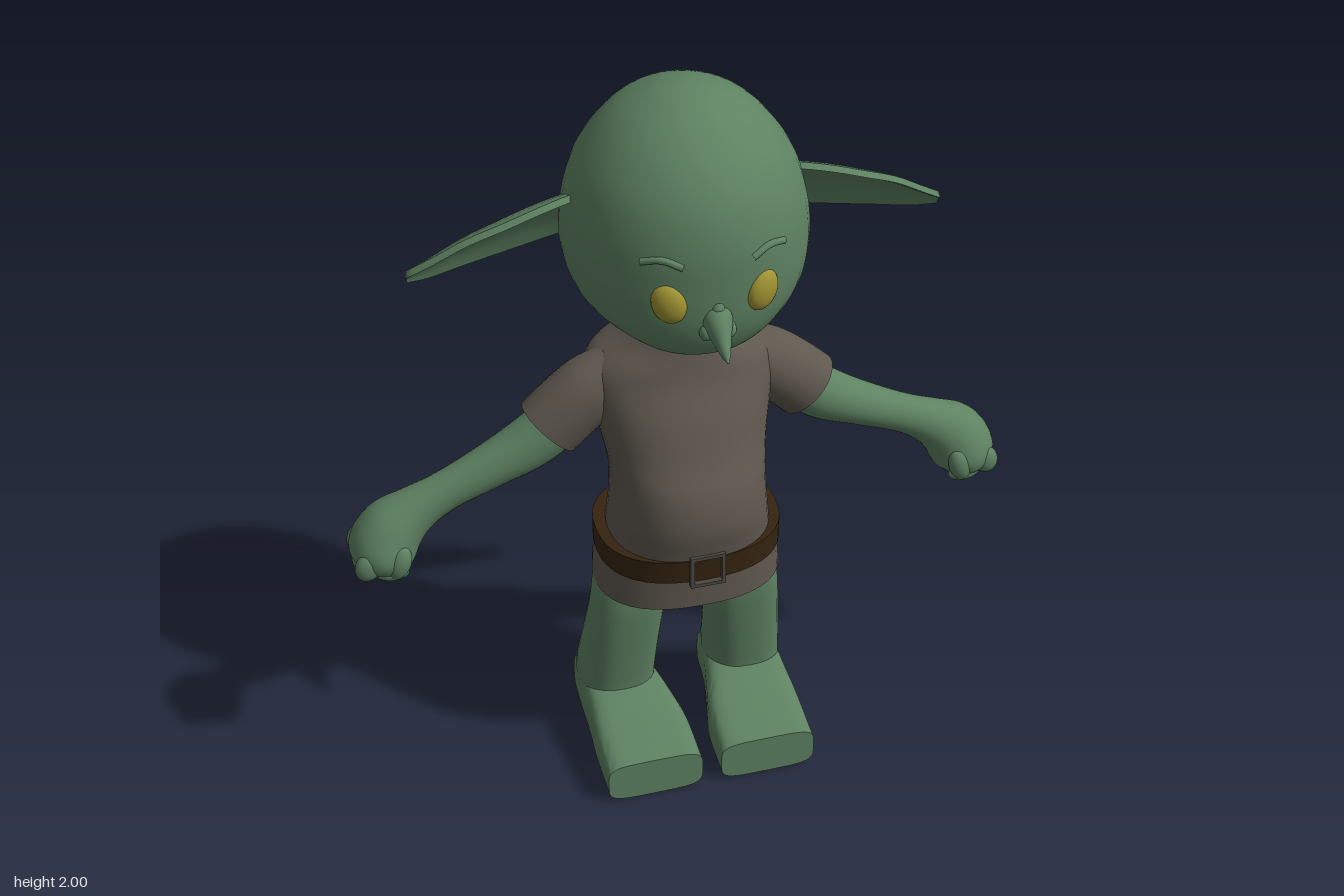
import * as THREE from 'three';
import { toCreasedNormals } from 'three/addons/utils/BufferGeometryUtils.js';

const V = (x, y, z) => new THREE.Vector3(x, y, z);
const X = V(1, 0, 0), Y = V(0, 1, 0), Z = V(0, 0, 1);

const makeMat = (name, color) => Object.assign(new THREE.MeshStandardMaterial({ color }), { name });

// Closed rings of points joined into a surface, with optional end caps
function skin(rings, { flip = false, caps = true } = {}) {
  const pos = [], idx = [], n = rings[0].length;
  const tri = (a, b, c) => (flip ? idx.push(a, c, b) : idx.push(a, b, c));
  rings.forEach(r => r.forEach(p => pos.push(p.x, p.y, p.z)));
  for (let i = 0; i < rings.length - 1; i++) {
    for (let j = 0; j < n; j++) {
      const a = i * n + j, b = i * n + (j + 1) % n;
      tri(a, b, b + n);
      tri(a, b + n, a + n);
    }
  }
  if (caps) {
    for (const end of [0, rings.length - 1]) {
      const base = pos.length / 3, mid = V(0, 0, 0);
      rings[end].forEach(p => { pos.push(p.x, p.y, p.z); mid.addScaledVector(p, 1 / n); });
      pos.push(mid.x, mid.y, mid.z);
      for (let j = 0; j < n; j++) {
        const a = base + j, b = base + (j + 1) % n;
        if (end === 0) tri(base + n, b, a); else tri(base + n, a, b);
      }
    }
  }
  const g = new THREE.BufferGeometry();
  g.setAttribute('position', new THREE.Float32BufferAttribute(pos, 3));
  g.setIndex(idx);
  g.computeVertexNormals();
  return g;
}

// Smooth in-between rows
function smooth(rows, sub) {
  const out = [], at = i => rows[Math.max(0, Math.min(rows.length - 1, i))];
  for (let i = 0; i < rows.length - 1; i++) {
    for (let k = 0; k < sub; k++) {
      const t = k / sub;
      out.push(rows[i].map((p1, c) => {
        const p0 = at(i - 1)[c], p2 = at(i + 1)[c], p3 = at(i + 2)[c];
        return p1 + 0.5 * t * (p2 - p0 + t * (2 * p0 - 5 * p1 + 4 * p2 - p3 + t * (3 * (p1 - p2) + p3 - p0)));
      }));
    }
  }
  out.push(rows[rows.length - 1]);
  return out;
}

// Rows are [x, y, z, half size across, half size along ref]; e rounds or squares the section
function loft(rows, ref, { dir = null, e = 2, sub = 5, n = 32, caps = true } = {}) {
  const st = smooth(rows, sub);
  const pow = v => Math.sign(v) * Math.abs(v) ** (2 / e);
  const rings = st.map(([x, y, z, a, b], i) => {
    const p = st[Math.max(0, i - 1)], q = st[Math.min(st.length - 1, i + 1)];
    const t = dir || V(q[0] - p[0], q[1] - p[1], q[2] - p[2]).normalize();
    const across = ref.clone().cross(t).normalize();
    return Array.from({ length: n }, (_, j) => {
      const th = (j / n) * Math.PI * 2;
      return V(x, y, z).addScaledVector(across, a * pow(Math.cos(th))).addScaledVector(ref, b * pow(Math.sin(th)));
    });
  });
  return skin(rings, { caps });
}

// Level sections from rows of [y, front z, back z, half width]
const upright = (rows, opts) =>
  loft(rows.map(([y, f, b, w]) => [0, y, (f + b) / 2, w, (f - b) / 2]), Z, { dir: Y, n: 40, ...opts });

// Cupped leaf from rows of [x, top y, top z, bottom y, bottom z]
function earGeometry(s) {
  const rows = smooth([
    [0.26, 1.75, -0.03, 1.56, -0.205], [0.31, 1.745, -0.02, 1.547, -0.21],
    [0.38, 1.73, -0.01, 1.535, -0.205], [0.45, 1.705, -0.012, 1.53, -0.19],
    [0.54, 1.665, -0.03, 1.53, -0.16], [0.62, 1.612, -0.055, 1.531, -0.13],
    [0.68, 1.568, -0.085, 1.542, -0.105]], 3);
  const rings = rows.map(([x, ty, tz, by, bz]) => {
    const w = Math.hypot(ty - by, tz - bz), ny = (tz - bz) / w, nz = -(ty - by) / w;
    const pt = (u, thick) => {
      const d = w * 0.5 * u * (1 - u) - thick;
      return V(s * x, ty + (by - ty) * u + ny * d, tz + (bz - tz) * u + nz * d);
    };
    const us = Array.from({ length: 9 }, (_, i) => i / 8);
    return [...us.map(u => pt(u, 0)), ...us.map(u => pt(1 - u, 0.018))];
  });
  // Choose the winding that makes the back of the ear face outward
  return toCreasedNormals(skin(rings, { flip: s > 0 }), 0.9);
}

export function createModel() {
  const model = new THREE.Group();
  model.name = 'goblin';
  const green = makeMat('green skin', 0x5e8262);
  const cloth = makeMat('brown grey cloth', 0x5f584f);
  cloth.side = THREE.DoubleSide;
  const leather = makeMat('dark leather', 0x35240f);
  const gold = makeMat('yellow eye', 0x9f9332);
  const metal = makeMat('dull metal', 0x4c4842);
  const add = (name, geo, mat) => {
    const m = new THREE.Mesh(geo, mat);
    m.name = name;
    model.add(m);
    return m;
  };
  const ball = (name, mat, p, r, ry = 0, rz = 0) => {
    const m = add(name, new THREE.SphereGeometry(1, 20, 14), mat);
    m.position.set(...p);
    m.scale.set(...r);
    m.rotation.set(0, ry, rz);
  };

  // Head and hooked nose
  add('head', upright([
    [1.377, 0.16, 0.13, 0.02], [1.384, 0.19, 0.05, 0.1], [1.4, 0.213, -0.02, 0.15],
    [1.43, 0.232, -0.12, 0.205], [1.47, 0.246, -0.215, 0.255], [1.52, 0.255, -0.28, 0.288],
    [1.6, 0.26, -0.332, 0.306], [1.7, 0.26, -0.342, 0.298], [1.8, 0.238, -0.322, 0.268],
    [1.88, 0.192, -0.272, 0.218], [1.94, 0.13, -0.21, 0.16], [1.98, 0.06, -0.135, 0.092],
    [1.995, 0.01, -0.085, 0.045], [2.0, -0.037, -0.039, 0.001]]), green);
  add('nose', loft([
    [0, 1.525, 0.225, 0.045, 0.04], [0, 1.505, 0.255, 0.042, 0.036],
    [0, 1.482, 0.29, 0.027, 0.022], [0, 1.462, 0.32, 0.015, 0.012],
    [0, 1.45, 0.34, 0.002, 0.002]].map(([x, y, z, a, b]) => [x, y, z, a, b]), X.clone(), { n: 20 }), green);
  ball('noseBridge', green, [0, 1.535, 0.248], [0.02, 0.04, 0.02]);

  // Tunic, belt and buckle
  add('tunic', upright([
    [0.66, 0.165, -0.21, 0.222], [0.75, 0.18, -0.21, 0.212], [0.83, 0.19, -0.21, 0.203],
    [0.92, 0.175, -0.215, 0.201], [1.0, 0.135, -0.23, 0.213], [1.1, 0.097, -0.255, 0.234],
    [1.18, 0.06, -0.257, 0.246], [1.23, 0.045, -0.252, 0.222], [1.28, 0.034, -0.235, 0.145],
    [1.33, 0.025, -0.19, 0.093], [1.39, 0.02, -0.14, 0.075], [1.48, 0.02, -0.13, 0.07]], { e: 2.3 }), cloth);
  add('tunicSkirt', upright([
    [0.56, 0.152, -0.22, 0.25], [0.62, 0.153, -0.218, 0.246], [0.68, 0.155, -0.215, 0.238]],
    { e: 2.4, caps: false }), cloth);
  add('belt', upright([[0.665, 0.175, -0.23, 0.245], [0.735, 0.178, -0.23, 0.245]], { e: 2.4, sub: 1 }), leather);
  for (const s of [-1, 1]) {
    add('buckleSide', new THREE.BoxGeometry(0.01, 0.095, 0.02), metal).position.set(s * 0.042, 0.702, 0.178);
    add('buckleBar', new THREE.BoxGeometry(0.094, 0.01, 0.02), metal).position.set(0, 0.702 + s * 0.043, 0.178);
  }

  for (const s of [1, -1]) {
    const side = s > 0 ? 'left' : 'right';
    const mirror = rows => rows.map(([x, ...rest]) => [s * x, ...rest]);

    // Face details
    add(side + 'Ear', earGeometry(s), green);
    ball(side + 'Eye', gold, [s * 0.115, 1.572, 0.233], [0.042, 0.054, 0.026], s * 0.37, -s * 0.3);
    ball(side + 'Nostril', green, [s * 0.028, 1.488, 0.252], [0.018, 0.022, 0.02]);
    const brow = new THREE.CatmullRomCurve3([
      V(s * 0.175, 1.682, 0.205), V(s * 0.13, 1.694, 0.234), V(s * 0.085, 1.675, 0.25)]);
    add(side + 'Brow', new THREE.TubeGeometry(brow, 10, 0.009, 8), green);

    // Sleeve, arm and fist
    add(side + 'Sleeve', toCreasedNormals(loft(mirror([
      [0.16, 1.195, -0.09, 0.065, 0.07], [0.225, 1.145, -0.09, 0.09, 0.084],
      [0.29, 1.093, -0.09, 0.093, 0.084], [0.347, 1.04, -0.09, 0.094, 0.08]]), Z), 0.9), cloth);
    add(side + 'Arm', loft(mirror([
      [0.27, 1.1, -0.09, 0.07, 0.07], [0.38, 1.01, -0.09, 0.072, 0.067],
      [0.5, 0.948, -0.09, 0.06, 0.058], [0.62, 0.893, -0.09, 0.054, 0.05],
      [0.7, 0.85, -0.092, 0.064, 0.06], [0.76, 0.805, -0.092, 0.084, 0.083],
      [0.795, 0.755, -0.09, 0.088, 0.098], [0.808, 0.718, -0.09, 0.074, 0.088],
      [0.813, 0.7, -0.09, 0.045, 0.06]]), Z), green);
    for (let f = 0; f < 4; f++) {
      const z = -0.155 + f * 0.043;
      ball(side + 'Finger', green, [s * 0.845, 0.738, z], [0.034, 0.042, 0.025], 0, s * 0.3);
      ball(side + 'Fingertip', green, [s * 0.785, 0.708, z], [0.045, 0.022, 0.023], 0, s * 0.1);
    }
    ball(side + 'Thumb', green, [s * 0.765, 0.745, -0.012], [0.03, 0.05, 0.024], 0, s * 0.3);

    // Leg and square-toed foot
    add(side + 'Leg', loft(mirror([
      [0.18, 0.08, -0.113, 0.1, 0.108], [0.18, 0.18, -0.11, 0.104, 0.11],
      [0.172, 0.3, -0.083, 0.102, 0.098], [0.16, 0.46, -0.045, 0.1, 0.08],
      [0.155, 0.56, -0.04, 0.095, 0.076], [0.155, 0.66, -0.04, 0.08, 0.07]]), Z, { dir: Y, e: 2.6 }), green);
    add(side + 'Foot', toCreasedNormals(loft(mirror([
      [0.18, 0.09, -0.227, 0.085, 0.05], [0.18, 0.1, -0.2, 0.098, 0.068],
      [0.178, 0.103, -0.1, 0.106, 0.083], [0.168, 0.092, 0, 0.117, 0.087],
      [0.16, 0.076, 0.1, 0.13, 0.076], [0.158, 0.06, 0.235, 0.132, 0.06]]), Y, { dir: Z, e: 4.5 }), 0.7), green);
  }
  return model;
}
